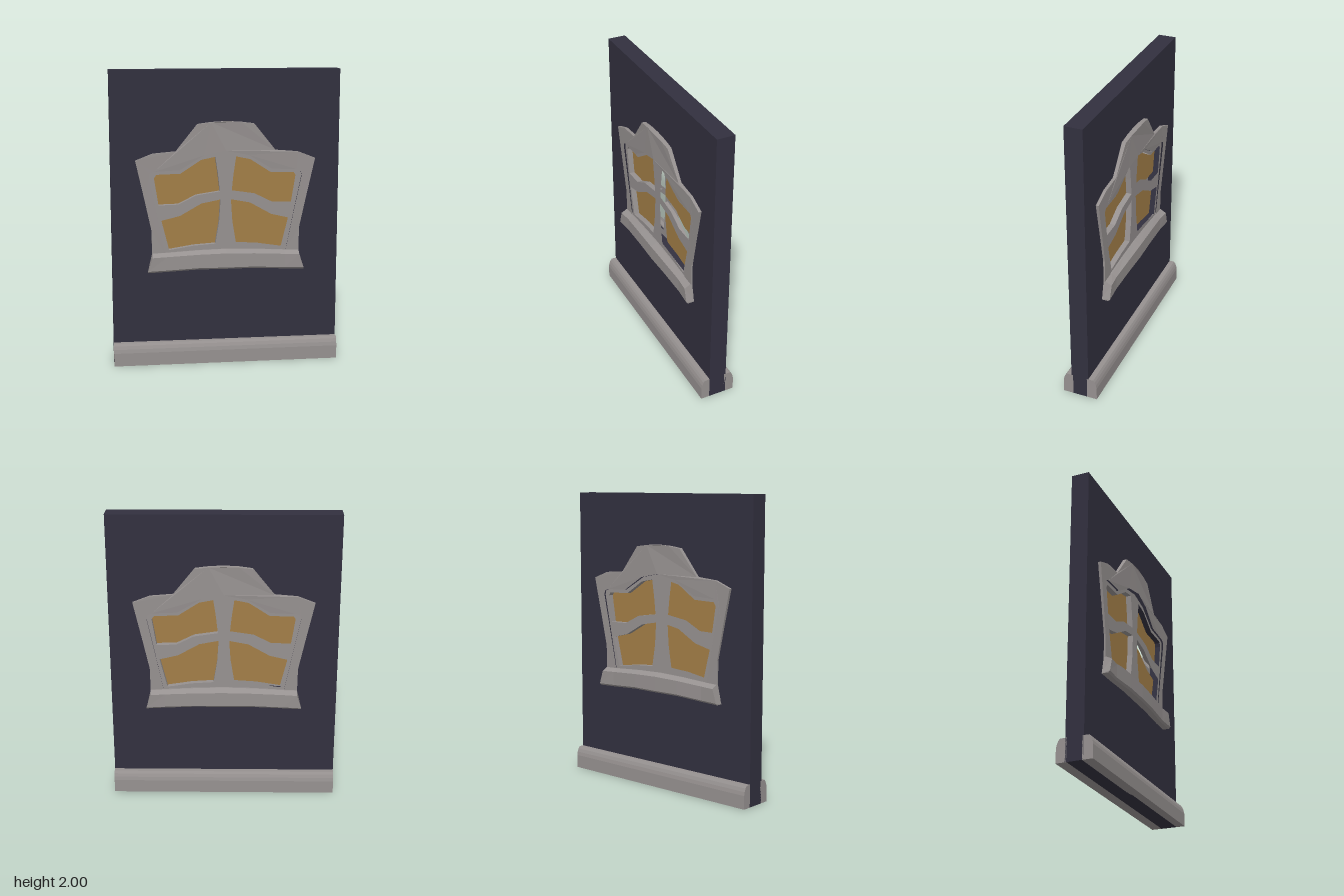
import * as THREE from 'three';

const mat = (name, color) => {
  const m = new THREE.MeshStandardMaterial({ color });
  m.name = name;
  return m;
};

// Mirror a half outline (centre top down to centre bottom) across x = 0
function mirrored(half) {
  const other = half.filter(([x]) => x > 0).map(([x, y]) => [-x, y]).reverse();
  return [...half, ...other];
}
const vecs = (pts) => pts.map(([x, y]) => new THREE.Vector2(x, y));
const flip = (pts) => pts.map(([x, y]) => [-x, y]);

function plate(outline, holes, z0, z1) {
  const shape = new THREE.Shape(vecs(outline));
  shape.holes = holes.map((h) => new THREE.Path(vecs(h)));
  const g = new THREE.ExtrudeGeometry(shape, { depth: z1 - z0, bevelEnabled: false });
  return g.translate(0, 0, z0);
}

const frameOutline = mirrored([[0, 1.66], [0.1, 1.655], [0.19, 1.643], [0.335, 1.463],
  [0.49, 1.45], [0.605, 1.405], [0.545, 1.13], [0.503, 0.93], [0.5, 0.72], [0, 0.72]]);
const opening = mirrored([[0, 1.465], [0.15, 1.435], [0.31, 1.338], [0.48, 1.33],
  [0.508, 1.318], [0.515, 1.29], [0.46, 1.02], [0.41, 0.765], [0, 0.785]]);
const upperPane = [[0.07, 1.422], [0.165, 1.403], [0.305, 1.312], [0.465, 1.308], [0.482, 1.285],
  [0.453, 1.1], [0.32, 1.103], [0.2, 1.163], [0.04, 1.187], [0.052, 1.3]];
const lowerPane = [[0.035, 1.132], [0.165, 1.107], [0.31, 1.025], [0.435, 0.995],
  [0.385, 0.792], [0.22, 0.818], [0.07, 0.828], [0.045, 0.98]];
const panes = [upperPane, lowerPane, flip(upperPane), flip(lowerPane)];

// Surround whose face swells towards the top centre
function frameGeometry() {
  const g = plate(frameOutline, [opening], 0.04, 0.08);
  const p = g.attributes.position;
  for (let i = 0; i < p.count; i++) {
    if (p.getZ(i) < 0.06) continue;
    const t = THREE.MathUtils.clamp((p.getY(i) - 0.8) / 0.6, 0, 1);
    const swell = Math.max(0, 1 - Math.abs(p.getX(i)) / 0.36);
    p.setZ(i, 0.072 + t * (0.009 + 0.016 * swell));
  }
  g.computeVertexNormals();
  return g;
}

// Sill lofted from cross-sections along x: [x, bottom y, top y, front z]
function sillGeometry() {
  const half = [[0.19, 0.66, 0.787, 0.117], [0.4, 0.648, 0.775, 0.11], [0.515, 0.645, 0.772, 0.118]];
  const stations = [...half.map(([x, ...r]) => [-x, ...r]).reverse(), [0, 0.66, 0.792, 0.121], ...half];
  const rings = stations.map(([x, b, t, z]) => {
    const flare = Math.abs(x) > 0.5 ? Math.sign(x) * 0.015 : 0;
    return [[x + flare, b, 0.05], [x + flare, b, z - 0.012], [x + flare, b + 0.012, z],
      [x - flare, t - 0.022, z], [x - flare, t, 0.078], [x - flare, t, 0.05]];
  });
  const v = [];
  const tri = (a, b, c) => v.push(...a, ...b, ...c);
  for (let i = 0; i < rings.length - 1; i++) {
    for (let j = 0; j < 6; j++) {
      const k = (j + 1) % 6, A = rings[i], B = rings[i + 1];
      tri(A[j], B[j], B[k]);
      tri(A[j], B[k], A[k]);
    }
  }
  const first = rings[0], last = rings[rings.length - 1];
  for (let j = 1; j < 5; j++) {
    tri(first[0], first[j], first[j + 1]);
    tri(last[0], last[j + 1], last[j]);
  }
  const g = new THREE.BufferGeometry();
  g.setAttribute('position', new THREE.Float32BufferAttribute(v, 3));
  g.computeVertexNormals();
  return g;
}

// Skirting with a rounded upper edge
function skirtingGeometry() {
  const profile = [[0.05, 0], [0.121, 0], [0.121, 0.09], [0.116, 0.115], [0.107, 0.137], [0.096, 0.152], [0.05, 0.152]];
  const g = plate(profile, [], -0.77, 0.77);
  return g.rotateY(-Math.PI / 2).scale(1, 1, 1);
}

export function createModel() {
  const wallMat = mat('dark wall', 0x32303f);
  const stoneMat = mat('grey stone', 0x969190);
  const glassMat = mat('amber glass', 0xa27e47);
  const model = new THREE.Group();
  model.name = 'wallWithWindow';

  const add = (parent, name, geometry, material) => {
    const mesh = new THREE.Mesh(geometry, material);
    mesh.name = name;
    parent.add(mesh);
    return mesh;
  };

  // Wall slab with the window opening cut through
  const wallOutline = [[-0.77, 0], [0.77, 0], [0.77, 2], [-0.77, 2]];
  add(model, 'wall', plate(wallOutline, [opening], -0.061, 0.061), wallMat);

  // The same trim on both faces of the wall
  const frame = frameGeometry(), sill = sillGeometry(), skirting = skirtingGeometry();
  const sash = plate(opening, panes, 0.01, 0.068);
  for (const [name, angle] of [['frontTrim', 0], ['backTrim', Math.PI]]) {
    const side = new THREE.Group();
    side.name = name;
    side.rotation.y = angle;
    add(side, 'windowFrame', frame, stoneMat);
    add(side, 'windowSash', sash, stoneMat);
    add(side, 'windowSill', sill, stoneMat);
    add(side, 'skirting', skirting, stoneMat);
    panes.forEach((p) => {
      const glass = new THREE.ShapeGeometry(new THREE.Shape(vecs(p)));
      add(side, 'windowPane', glass.translate(0, 0, 0.03), glassMat);
    });
    model.add(side);
  }
  return model;
}
